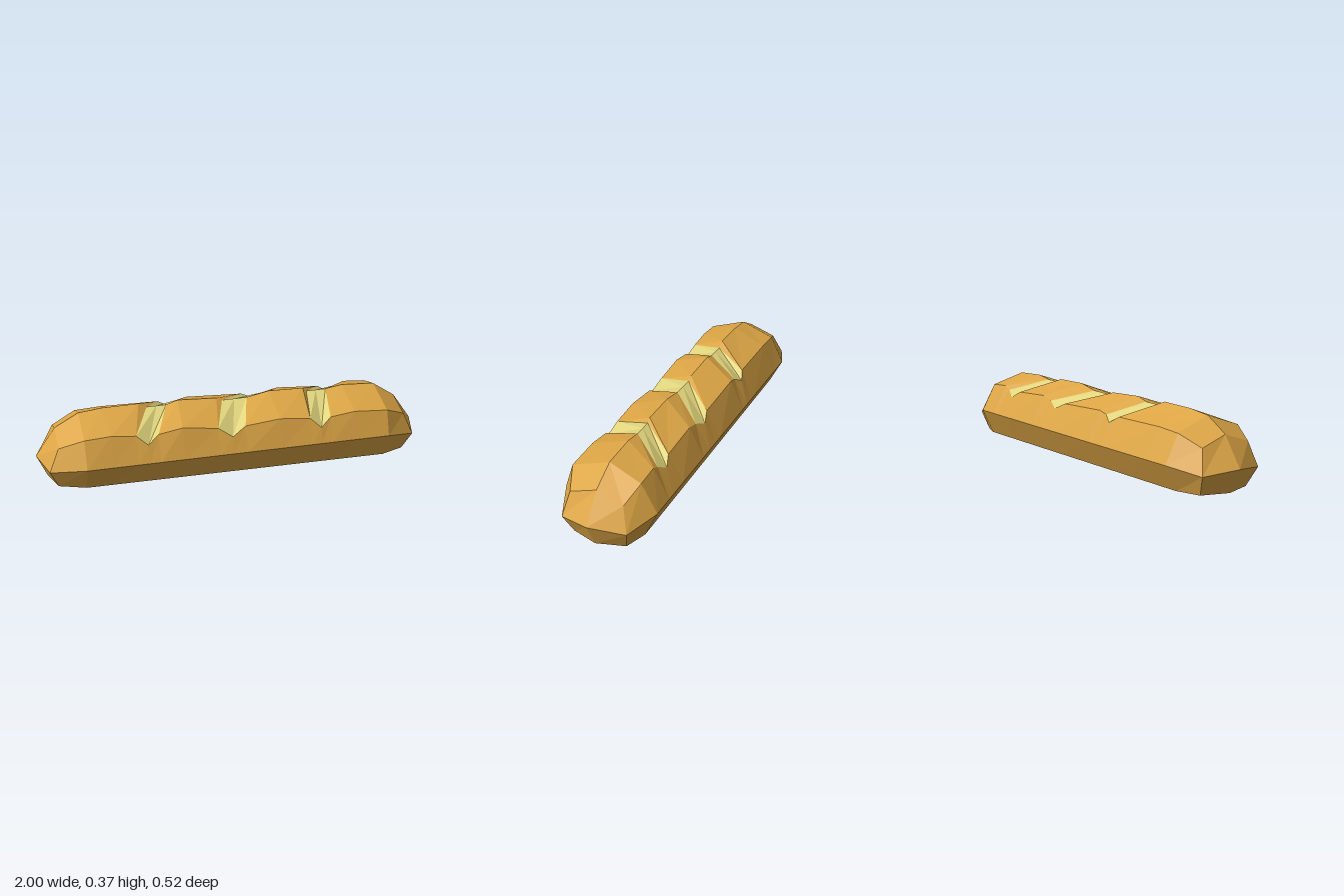
import * as THREE from 'three';

const mix = (a, b, t) => a + (b - a) * t;

// One cross-section: front bottom, front side, front shoulder, ridge, back shoulder, back side, back bottom.
// The loaf leans slightly, so heights and depths drift along x.
function ring([fx, fy, rx, ry, bx, by], bulge = 0) {
  const f = (fx + 1) / 2, r = (rx + 1) / 2, b = (bx + 1) / 2;
  return [
    [fx, mix(0.038, 0.003, f), mix(0.185, 0.167, f)],
    [fx, mix(0.163, 0.136, f), mix(0.258, 0.225, f)],
    [fx, fy, mix(0.2, 0.185, f) + bulge],
    [rx, ry, mix(0.015, -0.015, r)],
    [bx, by, mix(-0.16, -0.185, b) - bulge],
    [bx, mix(0.165, 0.143, b), mix(-0.23, -0.265, b)],
    [bx, mix(0.038, 0.006, b), mix(-0.165, -0.2, b)],
  ];
}

// Rounded end: a narrowed ring and a closing ring that collapses to the nose
function loafEnd(s, dy, dz) {
  const ridge = [s * 0.9, 0.26 + dy, dz - 0.01];
  const nose = [s, 0.12 + dy, dz - 0.01];
  const base = [s * 0.95, 0.003 + dy, dz - 0.02];
  const narrow = [
    [s * 0.91, 0.003 + dy, 0.115 + dz], [s * 0.95, 0.097 + dy, 0.15 + dz],
    [s * 0.9, 0.21 + dy, 0.13 + dz], ridge, [s * 0.9, 0.216 + dy, -0.145 + dz],
    [s * 0.95, 0.102 + dy, -0.185 + dz], [s * 0.91, 0.006 + dy, -0.16 + dz],
  ];
  return [narrow, [base, nose, ridge, ridge, ridge, nose, base]];
}

// Diagonal cut: crust lip, then left edge, middle and right edge of the cut floor
function slash({ front, ridge, back, lip, floor, edge, tip }) {
  const be = edge + 0.012, mid = (ridge[0] + ridge[1]) / 2;
  return [
    { p: ring([front[0], edge, lip[0], lip[1], back[0], be]) },
    { p: ring([front[0], edge, ridge[0], floor, back[0], be]), cut: true },
    { p: ring([(front[0] + front[1]) / 2, tip, mid, floor, (back[0] + back[1]) / 2, tip + 0.025], 0.02), cut: true },
    { p: ring([front[1], edge - 0.005, ridge[1], floor, back[1], be - 0.005]) },
  ];
}

function makeMesh(name, positions, color) {
  const geometry = new THREE.BufferGeometry();
  geometry.setAttribute('position', new THREE.Float32BufferAttribute(positions, 3));
  geometry.computeVertexNormals();
  const mesh = new THREE.Mesh(geometry, new THREE.MeshStandardMaterial({ color, flatShading: true }));
  mesh.name = name;
  return mesh;
}

export function createModel() {
  const plain = (...v) => ({ p: ring(v) });
  const [leftRing, leftNose] = loafEnd(-1, 0.034, 0.02);
  const [rightRing, rightNose] = loafEnd(1, 0, 0);

  const stations = [
    { p: leftNose }, { p: leftRing },
    plain(-0.78, 0.293, -0.78, 0.36, -0.78, 0.3),
    plain(-0.65, 0.3, -0.66, 0.372, -0.65, 0.306),
    ...slash({ front: [-0.53, -0.42], ridge: [-0.44, -0.34], back: [-0.35, -0.25],
      lip: [-0.48, 0.373], floor: 0.35, edge: 0.286, tip: 0.24 }),
    plain(-0.3, 0.3, -0.28, 0.368, -0.2, 0.305),
    ...slash({ front: [-0.12, 0.02], ridge: [-0.05, 0.08], back: [0.1, 0.23],
      lip: [-0.08, 0.355], floor: 0.34, edge: 0.276, tip: 0.23 }),
    plain(0.2, 0.288, 0.2, 0.362, 0.3, 0.3),
    ...slash({ front: [0.36, 0.47], ridge: [0.405, 0.51], back: [0.53, 0.64],
      lip: [0.385, 0.356], floor: 0.337, edge: 0.27, tip: 0.222 }),
    plain(0.6, 0.28, 0.6, 0.35, 0.68, 0.295),
    plain(0.78, 0.266, 0.78, 0.338, 0.8, 0.285),
    { p: rightRing }, { p: rightNose },
  ];

  // Skin neighbouring rings; the top faces between cut stations are pale crumb
  const crust = [], crumb = [];
  for (let i = 0; i < stations.length - 1; i++) {
    const a = stations[i].p, b = stations[i + 1].p;
    for (let j = 0; j < 7; j++) {
      const k = (j + 1) % 7;
      const target = stations[i].cut && (j === 2 || j === 3) ? crumb : crust;
      for (const tri of [[a[j], b[j], b[k]], [a[j], b[k], a[k]]]) {
        if (new Set(tri.map(String)).size === 3) target.push(...tri.flat());
      }
    }
  }

  const group = new THREE.Group();
  group.name = 'breadLoaf';
  group.add(makeMesh('crust', crust, 0xdca545), makeMesh('cuts', crumb, 0xe0d47c));
  return group;
}
